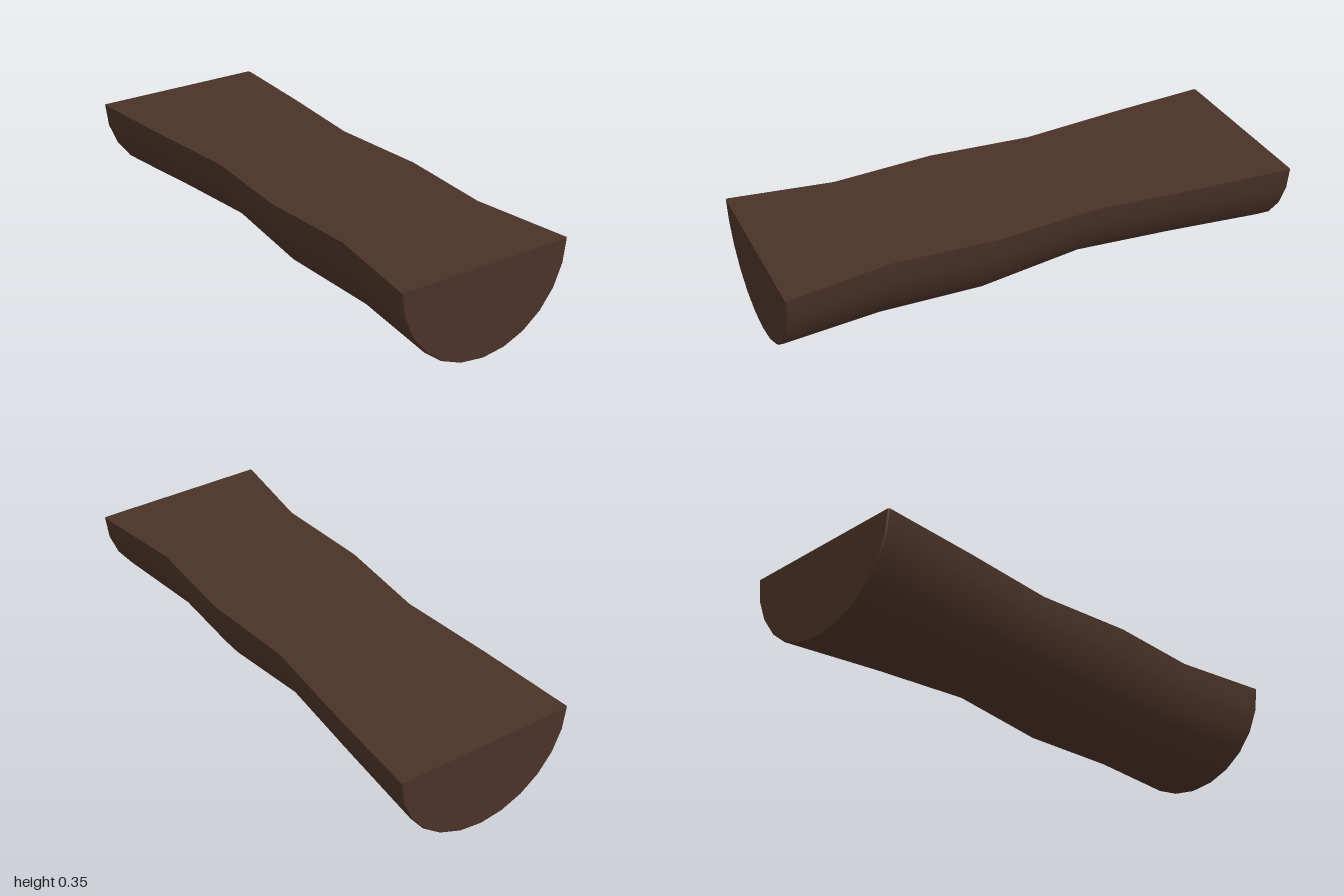
import * as THREE from 'three';
import { toCreasedNormals } from 'three/addons/utils/BufferGeometryUtils.js';

const TOP = 0.355;
const SEGMENTS = 12;

// Cross-sections along the log: [z, half width, depth below the flat top]
const SECTIONS = [
  [1, 0.349, 0.35],
  [0.994, 0.353, 0.354],
  [0.6, 0.295, 0.352],
  [0.2, 0.32, 0.352],
  [-0.2, 0.288, 0.308],
  [-0.6, 0.325, 0.324],
  [-0.994, 0.353, 0.352],
  [-1, 0.349, 0.348],
];

// Half-round log lofted through the sections, with a flat top and closed ends
function halfLogGeometry() {
  const positions = [];
  const index = [];
  const ring = SEGMENTS + 2; // arc points plus the middle of the flat top

  for (const [z, halfWidth, depth] of SECTIONS) {
    for (let i = 0; i <= SEGMENTS; i++) {
      const a = Math.PI + (i / SEGMENTS) * Math.PI;
      positions.push(halfWidth * Math.cos(a), TOP + depth * Math.sin(a), z);
    }
    positions.push(0, TOP, z);
  }

  // Rounded underside and flat top
  for (let s = 0; s < SECTIONS.length - 1; s++) {
    for (let i = 0; i < ring; i++) {
      const a = s * ring + i;
      const b = s * ring + ((i + 1) % ring);
      index.push(a, a + ring, b, b, a + ring, b + ring);
    }
  }

  // End faces, fanned from the middle of the top edge
  const back = (SECTIONS.length - 1) * ring;
  const mid = ring - 1;
  for (let i = 0; i < SEGMENTS; i++) {
    index.push(mid, i, i + 1);
    index.push(back + mid, back + i + 1, back + i);
  }

  const geometry = new THREE.BufferGeometry();
  geometry.setAttribute('position', new THREE.Float32BufferAttribute(positions, 3));
  geometry.setIndex(index);
  return toCreasedNormals(geometry, 0.6);
}

export function createModel() {
  const darkWood = new THREE.MeshStandardMaterial({ color: 0x4a3227 });
  darkWood.name = 'darkWood';

  const halfLog = new THREE.Mesh(halfLogGeometry(), darkWood);
  halfLog.name = 'halfLog';

  const model = new THREE.Group();
  model.name = 'splitLog';
  model.add(halfLog);
  return model;
}
